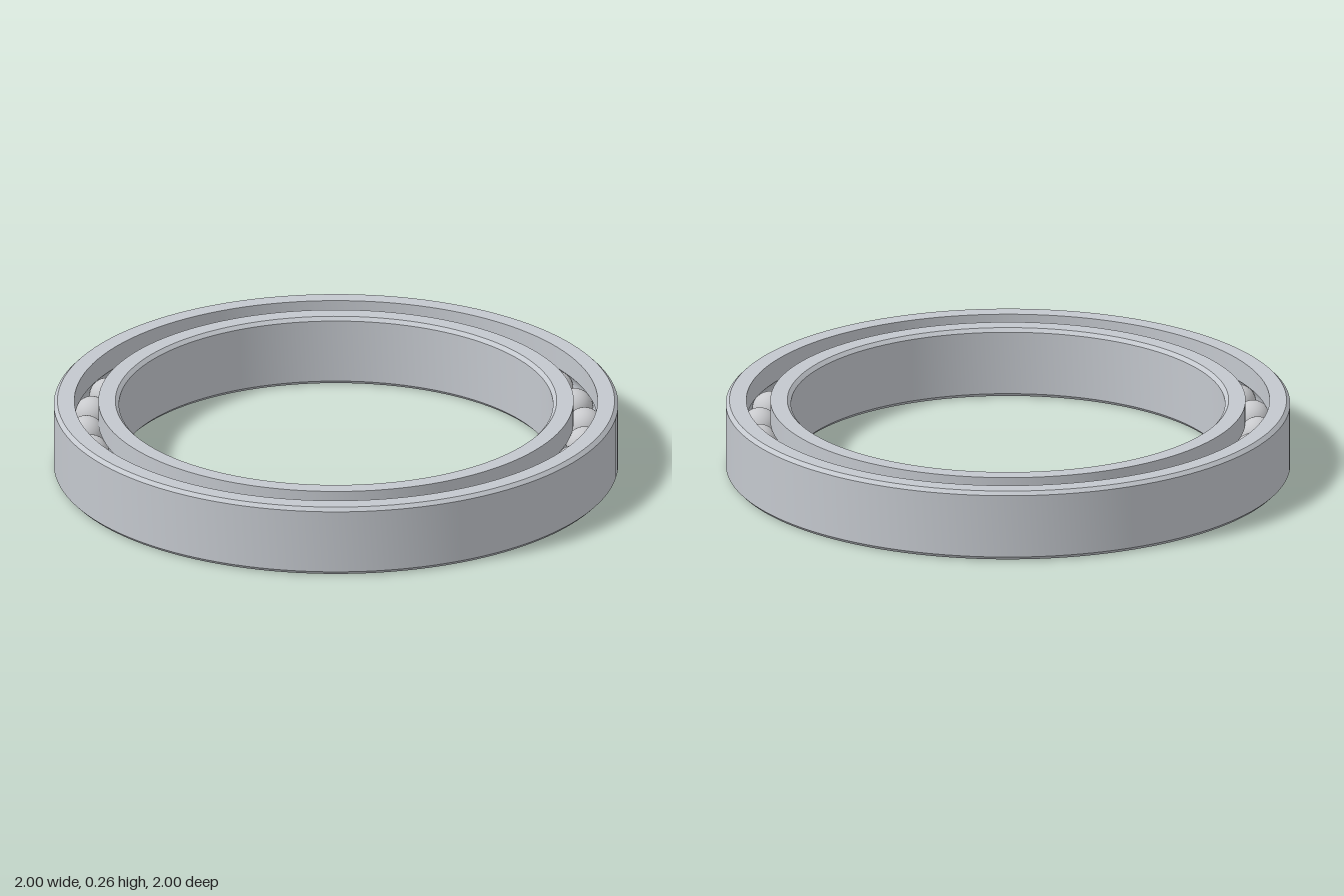
import * as THREE from 'three';
import { toCreasedNormals } from 'three/addons/utils/BufferGeometryUtils.js';

const H = 0.256;         // ring height
const R = 1;             // outer radius
const BORE = 0.769;      // bore radius
const C = 0.013;         // chamfer
const PITCH = 0.8846;    // radius of the ball circle
const HALF_GAP = 0.0425; // half the gap between the rings
const BALL_R = 0.064;
const BALLS = 31;

// Arc of the ball raceway; side +1 cuts the outer ring, -1 the inner ring
function groove(side, steps = 10) {
  const r = BALL_R + 0.0005;
  const a = Math.acos(HALF_GAP / r);
  const pts = [];
  for (let i = 0; i <= steps; i++) {
    const t = side * (a - (2 * a * i) / steps);
    pts.push([PITCH + side * r * Math.cos(t), H / 2 + r * Math.sin(t)]);
  }
  return pts;
}

// Revolve a closed counter-clockwise profile
function ring(name, profile, material) {
  const pts = [...profile, profile[0]].map(([x, y]) => new THREE.Vector2(x, y));
  const geo = toCreasedNormals(new THREE.LatheGeometry(pts, 128), 0.4);
  const mesh = new THREE.Mesh(geo, material);
  mesh.name = name;
  return mesh;
}

export function createModel() {
  const group = new THREE.Group();
  group.name = 'ballBearing';
  const ringSteel = new THREE.MeshStandardMaterial({ color: 0xc4c8ce });
  ringSteel.name = 'ring steel';
  const ballSteel = new THREE.MeshStandardMaterial({ color: 0xc8c9cc });
  ballSteel.name = 'ball steel';

  // Outer ring, chamfered on the outside
  const ri = PITCH + HALF_GAP;
  group.add(ring('outerRing', [
    [ri, 0], [R - C, 0], [R, C], [R, H - C], [R - C, H], [ri, H], ...groove(1),
  ], ringSteel));

  // Inner ring, chamfered at the bore
  const ro = PITCH - HALF_GAP;
  group.add(ring('innerRing', [
    [BORE + C, 0], [ro, 0], ...groove(-1), [ro, H], [BORE + C, H], [BORE, H - C], [BORE, C],
  ], ringSteel));

  // Balls, evenly spaced in the raceway
  const balls = new THREE.Group();
  balls.name = 'balls';
  const ballGeo = new THREE.SphereGeometry(BALL_R, 32, 20);
  for (let i = 0; i < BALLS; i++) {
    const a = (i / BALLS) * Math.PI * 2;
    const ball = new THREE.Mesh(ballGeo, ballSteel);
    ball.name = 'ball';
    ball.position.set(PITCH * Math.cos(a), H / 2, PITCH * Math.sin(a));
    balls.add(ball);
  }
  group.add(balls);
  return group;
}
